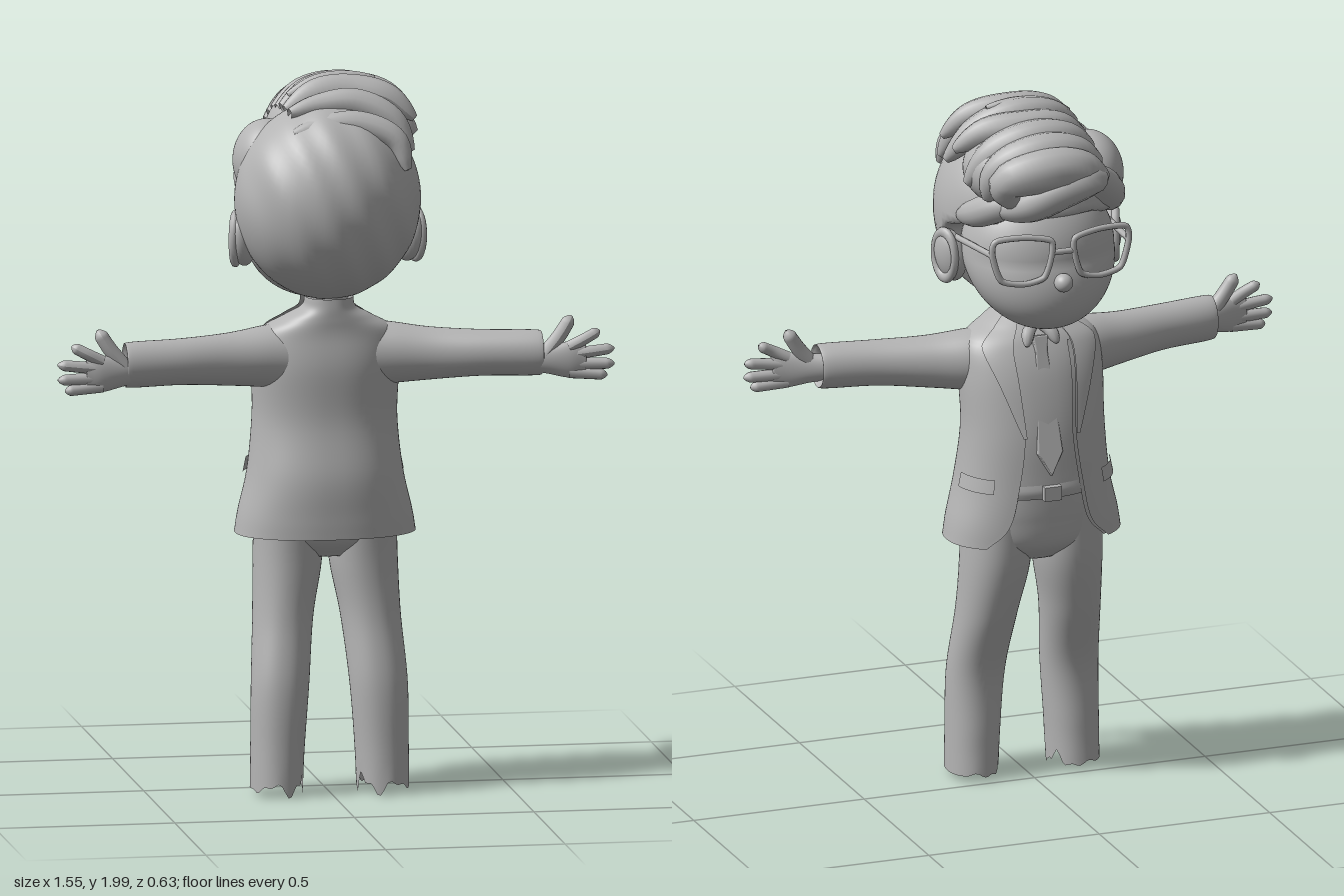
import * as THREE from 'three';

const grey = new THREE.MeshStandardMaterial({ color: 0xb4b4b4, side: THREE.DoubleSide });
grey.name = 'plain grey';
const V = (x, y, z) => new THREE.Vector3(x, y, z);

function add(parent, name, geometry) {
  const mesh = new THREE.Mesh(geometry, grey);
  mesh.name = name;
  parent.add(mesh);
  return mesh;
}

// Smooth skin over oval rows [t, a, b, ra, rb, g]: t runs along the axis, (a, b) is the
// centre, angle 0 faces -z. span(g, u) limits the arc, for open coats and lapels.
function loft(rows, { axis = 'y', span, steps = 36, segs = 40, pow = 1, cap = false } = {}) {
  const centre = new THREE.CatmullRomCurve3(rows.map(r => V(r[0], r[1], r[2])), false, 'catmullrom');
  const size = new THREE.CatmullRomCurve3(rows.map(r => V(r[3], r[4], r[5] || 0)), false, 'catmullrom');
  const pos = [], index = [];
  const bend = v => Math.sign(v) * Math.abs(v) ** pow;
  const put = (t, a, b) => (axis === 'y' ? pos.push(a, t, b) : pos.push(t, a, b));
  const n = span ? segs + 1 : segs;
  for (let i = 0; i <= steps; i++) {
    const u = i / steps, c = centre.getPoint(u), s = size.getPoint(u);
    const [t0, t1] = span ? span(s.z, u) : [0, Math.PI * 2];
    for (let j = 0; j < n; j++) {
      const th = t0 + (t1 - t0) * j / segs;
      put(c.x, c.y + s.x * bend(Math.sin(th)), c.z - s.y * bend(Math.cos(th)));
    }
  }
  for (let i = 0; i < steps; i++) for (let j = 0; j < segs; j++) {
    const a = i * n + j, b = i * n + (j + 1) % n;
    const sideways = axis === 'y' ? [a, a + n, b, b, a + n, b + n] : [a, b, a + n, b, b + n, a + n];
    index.push(...sideways);
  }
  if (cap) for (const i of [0, steps]) {
    const c = centre.getPoint(i / steps), k = pos.length / 3;
    put(c.x, c.y, c.z);
    for (let j = 0; j < segs; j++) {
      const a = i * n + j, b = i * n + (j + 1) % n;
      const flip = (i === 0) === (axis === 'y');
      index.push(k, ...(flip ? [a, b] : [b, a]));
    }
  }
  const g = new THREE.BufferGeometry();
  g.setAttribute('position', new THREE.Float32BufferAttribute(pos, 3));
  g.setIndex(index);
  g.computeVertexNormals();
  return g;
}

// Tapered round lock or finger along a path
function strand(points, r, taper = u => Math.sin(Math.PI * (0.04 + 0.94 * u)) ** 0.5) {
  const curve = new THREE.CatmullRomCurve3(points.map(p => V(...p)));
  const steps = 24, sides = 12;
  const g = new THREE.TubeGeometry(curve, steps, r, sides);
  const p = g.attributes.position, v = V(0, 0, 0);
  for (let i = 0; i < p.count; i++) {
    const u = Math.floor(i / (sides + 1)) / steps, c = curve.getPointAt(u);
    v.fromBufferAttribute(p, i).sub(c).multiplyScalar(taper(u)).add(c);
    p.setXYZ(i, v.x, v.y, v.z);
  }
  g.computeVertexNormals();
  return g;
}
const fingerTaper = u => Math.min(1, Math.sqrt(Math.max(0.003, 1 - u) * 7)) * (1 - 0.15 * u);

function ball(x, y, z, rx, ry, rz, rule) {
  const g = new THREE.SphereGeometry(1, 64, 48).scale(rx, ry, rz).translate(x, y, z);
  if (rule) {
    const p = g.attributes.position, v = V(0, 0, 0);
    for (let i = 0; i < p.count; i++) {
      rule(v.fromBufferAttribute(p, i));
      p.setXYZ(i, v.x, v.y, v.z);
    }
    g.computeVertexNormals();
  }
  return g;
}

function buildHead(root) {
  const head = new THREE.Group();
  head.name = 'head';
  root.add(head);
  // face, with the chin pushed forward
  add(head, 'face', ball(0, 1.57, -0.02, 0.215, 0.21, 0.185, v => {
    if (v.y < 1.57) v.z -= (1.57 - v.y) * 0.4;
  }));
  add(head, 'nose', ball(0, 1.525, -0.225, 0.026, 0.026, 0.027));
  // hair shell, cut away in front of the ears below the hairline
  add(head, 'hair', ball(0, 1.66, 0.07, 0.257, 0.275, 0.24, v => {
    const k = THREE.MathUtils.smoothstep(v.y, 1.63, 1.74);
    v.z = Math.max(v.z, 0.05 - 0.4 * k);
    if (v.z > 0.1) v.z += 0.004 * Math.sin(v.x * 60 + v.y * 25);
  }));
  add(head, 'sideHair', ball(-0.155, 1.76, -0.005, 0.095, 0.115, 0.115));
  add(head, 'quiff', ball(0.045, 1.83, -0.09, 0.19, 0.125, 0.17));
  // locks swept across from the parting: [z, top height, end x, end y, radius]
  const locks = [
    [-0.255, 1.87, 0.14, 1.76, 0.062], [-0.205, 1.9, 0.2, 1.77, 0.058],
    [-0.145, 1.925, 0.235, 1.8, 0.052], [-0.085, 1.94, 0.25, 1.88, 0.046],
    [-0.02, 1.955, 0.25, 1.83, 0.046], [0.035, 1.958, 0.24, 1.88, 0.042],
    [0.1, 1.93, 0.22, 1.8, 0.042], [0.16, 1.88, 0.2, 1.76, 0.04],
  ];
  for (const [z, top, ex, ey, r] of locks) {
    const lift = z > 0.07 ? 0.02 : 0.05;
    add(head, 'hairLock', strand([[-0.115, top - lift, z + 0.02], [-0.03, top - 0.005, z],
      [0.07, top, z], [0.17, (top + ey) / 2 + 0.02, z + 0.025], [ex, ey, z + 0.05]], r));
  }
  add(head, 'topTuft', strand([[-0.1, 1.94, 0], [-0.02, 1.972, -0.01], [0.06, 1.982, -0.01], [0.145, 1.98, -0.005]], 0.022));
  // fringe curls hanging over the brow
  add(head, 'fringe', strand([[-0.1, 1.8, -0.2], [-0.07, 1.83, -0.26], [0.02, 1.81, -0.26], [0.1, 1.76, -0.22], [0.17, 1.73, -0.15]], 0.055));
  add(head, 'fringe', strand([[0.05, 1.76, -0.2], [0.14, 1.75, -0.16], [0.2, 1.71, -0.09], [0.225, 1.68, -0.01]], 0.045));
  add(head, 'fringe', strand([[-0.09, 1.83, -0.18], [-0.15, 1.77, -0.13], [-0.195, 1.71, -0.07], [-0.215, 1.65, 0.01]], 0.045));

  for (const s of [-1, 1]) {
    // ears
    const ear = add(head, 'ear', new THREE.SphereGeometry(1, 32, 24).scale(0.036, 0.075, 0.052));
    ear.position.set(s * 0.232, 1.55, 0.04);
    ear.rotation.set(0.15, s * 0.35, -s * 0.15);
    const rim = add(head, 'earRim', new THREE.TorusGeometry(0.05, 0.012, 10, 32).scale(0.85, 1.3, 1));
    rim.position.set(s * 0.25, 1.552, 0.035);
    rim.rotation.y = Math.PI / 2 + s * 0.35;
    // spectacles: squarish rims, then arms back to the ears
    const loop = [[0.035, 1.65], [0.11, 1.665], [0.19, 1.66], [0.2, 1.62], [0.175, 1.545], [0.11, 1.53], [0.055, 1.545], [0.035, 1.6]];
    const rimCurve = new THREE.CatmullRomCurve3(loop.map(([x, y]) => V(s * x, y, -0.225 + x * 0.12)), true, 'catmullrom', 0.35);
    add(head, 'glassesRim', new THREE.TubeGeometry(rimCurve, 64, 0.009, 8, true));
    add(head, 'glassesArm', new THREE.TubeGeometry(new THREE.LineCurve3(V(s * 0.2, 1.62, -0.2), V(s * 0.222, 1.605, 0.03)), 4, 0.009, 8));
  }
  add(head, 'glassesBridge', new THREE.TubeGeometry(new THREE.LineCurve3(V(-0.036, 1.615, -0.22), V(0.036, 1.615, -0.22)), 4, 0.009, 8));
}

function buildBody(root) {
  add(root, 'neck', loft([[1.3, 0, 0.07, 0.06, 0.06], [1.36, 0, 0.07, 0.055, 0.058], [1.44, 0, 0.06, 0.06, 0.065]]));
  // open coat: height, centre, half width, half depth, opening angle
  const coat = [[0.73, 0, 0.025, 0.25, 0.165, 0.75], [0.79, 0, 0.025, 0.24, 0.167, 0.48], [0.9, 0, 0.025, 0.215, 0.167, 0.4],
    [1.05, 0, 0.018, 0.2, 0.15, 0.33], [1.2, 0, 0.035, 0.203, 0.135, 0.38], [1.29, 0, 0.05, 0.19, 0.11, 0.42],
    [1.335, 0, 0.07, 0.125, 0.09, 0.45], [1.365, 0, 0.085, 0.075, 0.075, 0.55], [1.395, 0, 0.09, 0.066, 0.068, 0.75]];
  const puff = (rows, d) => rows.map(([y, a, b, ra, rb, g]) => [y, a, b, ra + d, rb + d, g]);
  add(root, 'coat', loft(coat, { span: g => [g, Math.PI * 2 - g], steps: 48, segs: 64, pow: 0.88 }));
  add(root, 'coatLining', loft(puff(coat.slice(0, 6), -0.014), { span: g => [g, Math.PI * 2 - g], segs: 64, pow: 0.88 }));
  add(root, 'shirt', loft(puff(coat.slice(2, 8), -0.022), { pow: 0.88 }));
  add(root, 'belt', loft([[0.865, 0, 0.025, 0.19, 0.148], [0.885, 0, 0.025, 0.192, 0.152], [0.905, 0, 0.025, 0.19, 0.148]], { steps: 6, pow: 0.88 }));
  add(root, 'buckle', new THREE.BoxGeometry(0.05, 0.04, 0.02).translate(0, 0.885, -0.137));
  add(root, 'hips', loft([[0.67, 0, 0.025, 0.08, 0.08], [0.72, 0, 0.025, 0.17, 0.125], [0.8, 0, 0.025, 0.192, 0.138], [0.88, 0, 0.025, 0.185, 0.142]], { cap: true, pow: 0.9 }));
  // tie
  const tie = new THREE.Shape([[-0.018, 0.38], [0.018, 0.38], [0.013, 0.34], [0.033, 0.06], [0, 0], [-0.033, 0.06], [-0.013, 0.34]].map(p => new THREE.Vector2(...p)));
  const tieMesh = add(root, 'tie', new THREE.ExtrudeGeometry(tie, { depth: 0.012, bevelSize: 0.004, bevelThickness: 0.004 }));
  tieMesh.position.set(0, 0.94, -0.135);
  tieMesh.rotation.x = 0.24;

  for (const s of [-1, 1]) {
    const half = new THREE.Group();
    half.name = s > 0 ? 'leftSide' : 'rightSide';
    half.scale.x = s;
    root.add(half);
    // lapel, shirt collar wing and pocket flap
    add(half, 'lapel', loft(puff(coat.slice(3, 9), 0.012), { span: (g, u) => [g - 0.03, g + 0.02 + 0.5 * Math.min(1, u * 2.4)], pow: 0.88, segs: 12 }));
    add(half, 'collarWing', strand([[0.004, 1.335, -0.015], [0.03, 1.325, -0.035], [0.045, 1.29, -0.06]], 0.018));
    add(half, 'pocketFlap', loft(puff(coat.slice(2, 4).map((r, i) => [0.89 + i * 0.04, 0, 0.025, 0.216 - i * 0.008, 0.167 - i * 0.004, 0]), 0.01), { span: () => [0.75, 1.45], steps: 6, segs: 16, pow: 0.88 }));

    // sleeve with a turned-in cuff
    add(half, 'sleeve', loft([[0.08, 1.225, 0.06, 0.095, 0.085], [0.17, 1.228, 0.07, 0.086, 0.082], [0.28, 1.227, 0.095, 0.073, 0.068],
      [0.42, 1.23, 0.128, 0.064, 0.06], [0.565, 1.23, 0.153, 0.063, 0.055], [0.573, 1.23, 0.155, 0.054, 0.046], [0.55, 1.23, 0.153, 0.035, 0.03]], { axis: 'x', cap: true }));
    // hand
    add(half, 'palm', loft([[0.53, 1.22, 0.165, 0.036, 0.028], [0.59, 1.217, 0.183, 0.041, 0.026], [0.65, 1.215, 0.197, 0.05, 0.021], [0.695, 1.215, 0.202, 0.043, 0.014]], { axis: 'x', cap: true }));
    add(half, 'thumb', strand([[0.585, 1.23, 0.185], [0.625, 1.28, 0.185], [0.66, 1.335, 0.182]], 0.022, fingerTaper));
    for (const [y0, x1, y1, z1] of [[1.25, 0.735, 1.295, 0.198], [1.23, 0.775, 1.245, 0.203], [1.204, 0.775, 1.203, 0.208], [1.181, 0.755, 1.172, 0.208]])
      add(half, 'finger', strand([[0.65, y0, 0.198], [(0.65 + x1) / 2, (y0 + y1) / 2, 0.203], [x1, y1, z1]], 0.0175, fingerTaper));

    // trouser leg with a torn, open hem
    const leg = loft([[0.03, 0.148, 0.1, 0.072, 0.088], [0.14, 0.145, 0.1, 0.074, 0.084], [0.32, 0.137, 0.096, 0.08, 0.081],
      [0.5, 0.122, 0.052, 0.083, 0.096], [0.65, 0.106, 0.03, 0.094, 0.112], [0.8, 0.1, 0.028, 0.096, 0.122]], { segs: 48, pow: 0.94 });
    const p = leg.attributes.position;
    for (let i = 0; i < p.count; i++) {
      const y = p.getY(i);
      if (y > 0.1) continue;
      const th = Math.atan2(p.getX(i) - 0.147, p.getZ(i) - 0.1);
      const tear = 0.022 * Math.sin(th * 5) + 0.014 * Math.sin(th * 11 + 1);
      const inner = 0.5 - 0.5 * Math.sin(th - 0.4);
      p.setY(i, Math.max(0, y + (1 - (y - 0.03) / 0.07) * inner * (tear + 0.012)));
    }
    leg.computeVertexNormals();
    add(half, 'trouserLeg', leg);
  }
}

export function createModel() {
  const root = new THREE.Group();
  root.name = 'suitedFigure';
  buildHead(root);
  buildBody(root);
  return root;
}
